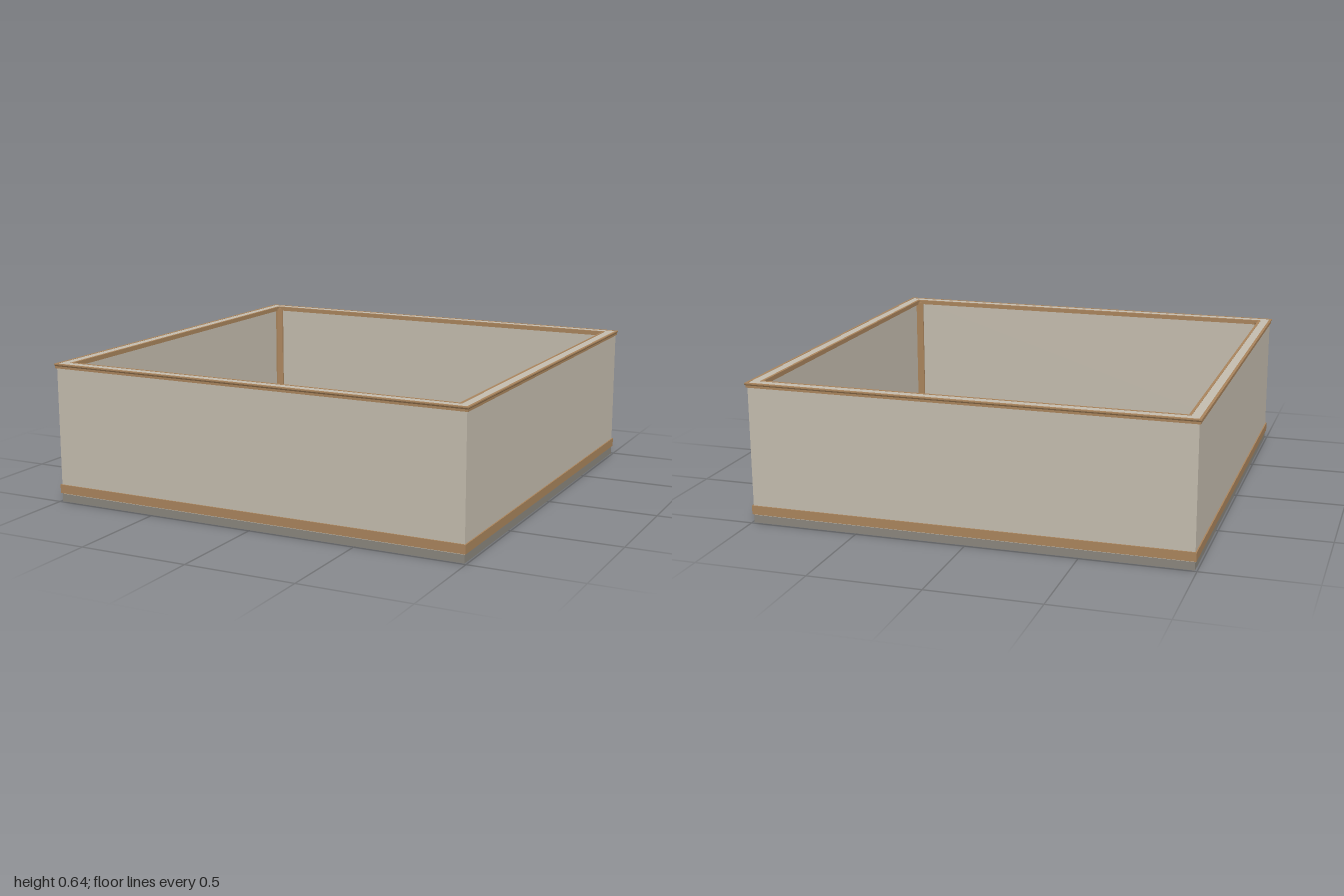
import * as THREE from 'three';

const flat = (name, color) => {
  const m = new THREE.MeshStandardMaterial({ color });
  m.name = name;
  return m;
};

// Mitred square ring: a closed profile of [half width, height] swept round four sides
function squareRing(profile) {
  const pts = [...profile, profile[0]].map(([r, y]) => new THREE.Vector2(r * Math.SQRT2, y));
  const g = new THREE.LatheGeometry(pts, 4, Math.PI / 4).toNonIndexed();
  g.computeVertexNormals();
  return g;
}

const band = (inner, outer, y0, y1) => [[inner, y0], [outer, y0], [outer, y1], [inner, y1]];

export function createModel() {
  const plaster = flat('plaster', 0xc4bcae);
  const wood = flat('wood', 0xa9845c);
  const stone = flat('stone', 0x8a867d);

  const model = new THREE.Group();
  model.name = 'roofParapet';
  const add = (name, geometry, material) => {
    const mesh = new THREE.Mesh(geometry, material);
    mesh.name = name;
    model.add(mesh);
    return mesh;
  };

  // Stone slab and wooden floor
  add('baseSlab', new THREE.BoxGeometry(1.98, 0.036, 1.98), stone).position.y = 0.018;
  add('floor', new THREE.BoxGeometry(1.93, 0.005, 1.93), wood).position.y = 0.0385;

  // Four walls with exposed tops
  add('walls', squareRing(band(0.947, 0.99, 0.036, 0.64)), plaster);

  // Outer and inner trims
  add('outerBaseTrim', squareRing(band(0.985, 0.996, 0.04, 0.08)), wood);
  add('outerTopTrim', squareRing([
    [0.988, 0.62], [0.996, 0.62], [0.996, 0.63], [1, 0.636], [1, 0.641], [0.988, 0.641],
  ]), wood);
  add('innerBaseboard', squareRing(band(0.932, 0.95, 0.036, 0.08)), wood);
  add('innerTopTrim', squareRing(band(0.937, 0.949, 0.62, 0.641)), wood);

  // Chamfered posts in the inside corners
  const section = new THREE.Shape([
    [0, 0], [0.03, 0], [0.03, 0.01], [0.01, 0.03], [0, 0.03],
  ].map(([x, y]) => new THREE.Vector2(x, y)));
  const post = new THREE.ExtrudeGeometry(section, { depth: 0.59, bevelEnabled: false });
  post.rotateX(-Math.PI / 2).translate(-0.948, 0.04, 0.948);
  for (let i = 0; i < 4; i++) {
    add('cornerPost', post, wood).rotation.y = i * Math.PI / 2;
  }

  return model;
}
